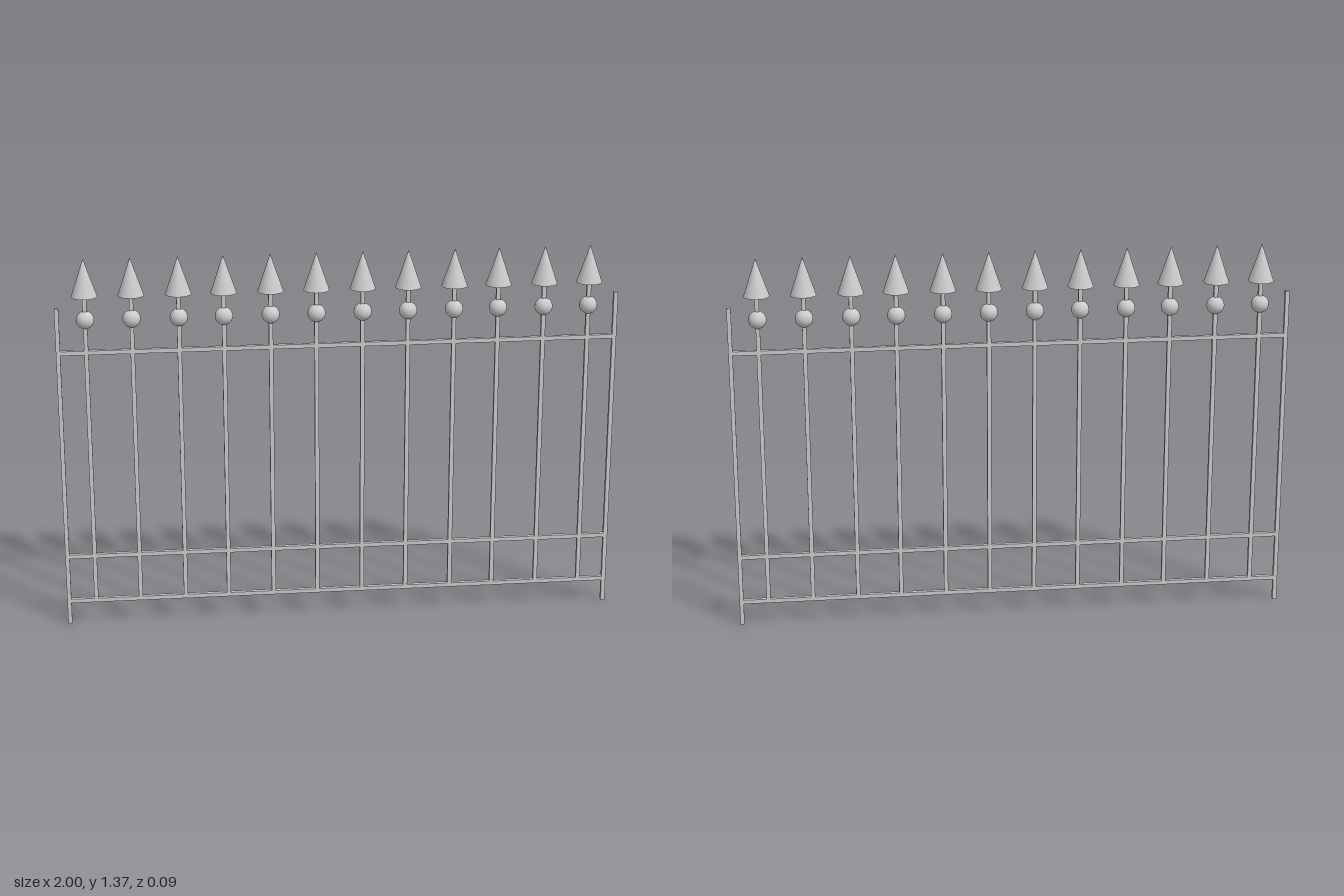
import * as THREE from 'three';

export function createModel() {
  const fence = new THREE.Group();
  fence.name = 'fence';
  const material = new THREE.MeshStandardMaterial({ color: 0xcccccc });
  const bar = 0.015; // thickness of every square bar

  const add = (parent, name, geometry, x, y) => {
    const mesh = new THREE.Mesh(geometry, material);
    mesh.name = name;
    mesh.position.set(x, y, 0);
    parent.add(mesh);
  };

  // End posts
  const postHeight = 1.197;
  const postX = 1 - bar / 2;
  const postGeometry = new THREE.BoxGeometry(bar, postHeight, bar);
  add(fence, 'leftPost', postGeometry, postX, postHeight / 2);
  add(fence, 'rightPost', postGeometry, -postX, postHeight / 2);

  // Horizontal rails
  const bottomY = 0.088;
  const railGeometry = new THREE.BoxGeometry(2 * postX, bar, bar);
  add(fence, 'bottomRail', railGeometry, 0, bottomY);
  add(fence, 'lowerRail', railGeometry, 0, 0.262);
  add(fence, 'topRail', railGeometry, 0, 1.033);

  // Pickets, each with a ball and a spear tip
  const tipBase = 1.237, tipTop = 1.373;
  const shaftGeometry = new THREE.BoxGeometry(bar, tipBase - bottomY, bar);
  const ballGeometry = new THREE.SphereGeometry(0.032, 24, 16);
  const tipGeometry = new THREE.ConeGeometry(0.046, tipTop - tipBase, 32);
  for (const offset of [0.082, 0.244, 0.409, 0.567, 0.732, 0.894]) {
    for (const side of [-1, 1]) {
      const picket = new THREE.Group();
      picket.name = 'picket';
      picket.position.x = side * offset;
      add(picket, 'shaft', shaftGeometry, 0, (bottomY + tipBase) / 2);
      add(picket, 'ball', ballGeometry, 0, 1.152);
      add(picket, 'spearTip', tipGeometry, 0, (tipBase + tipTop) / 2);
      fence.add(picket);
    }
  }
  return fence;
}
